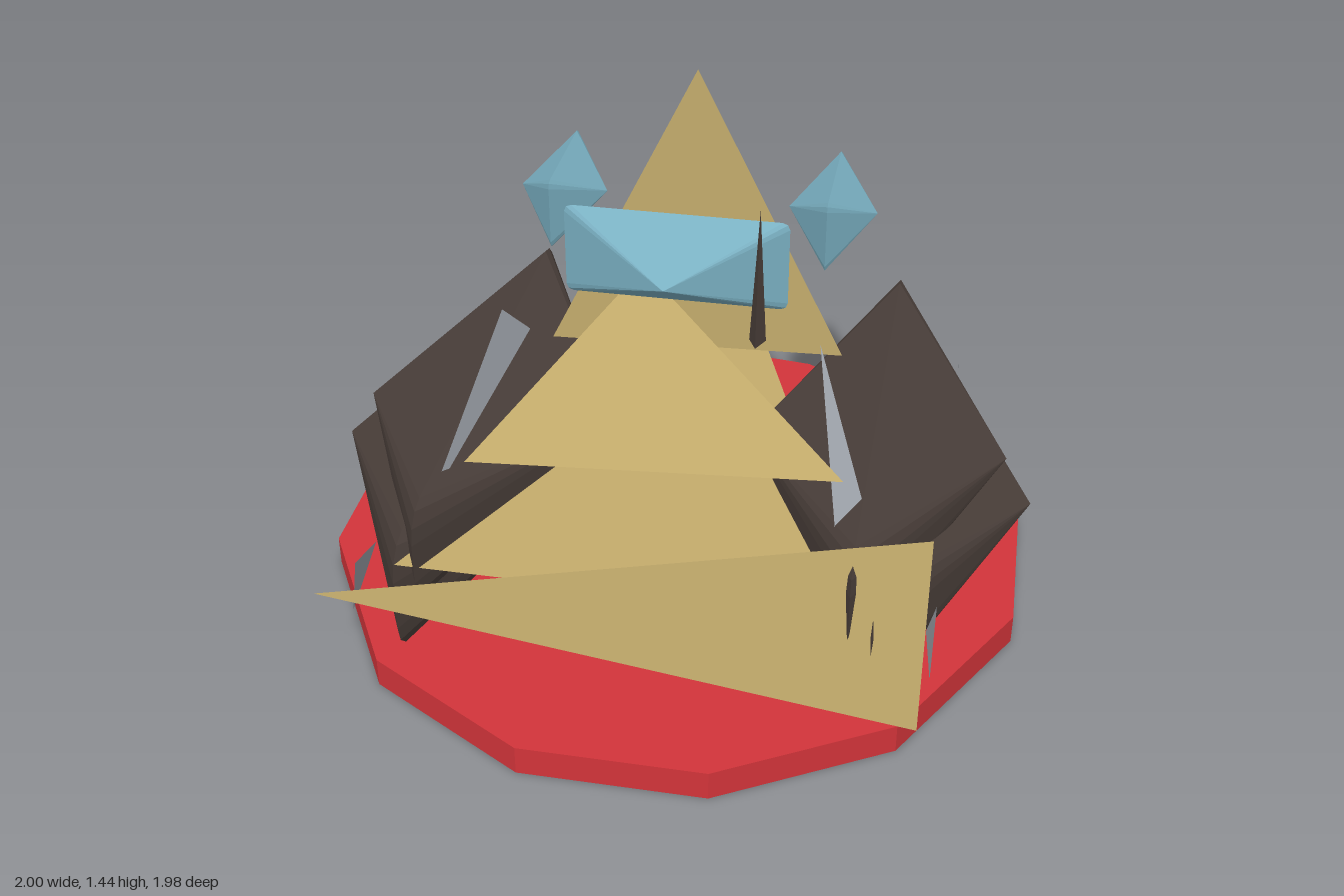
import * as THREE from 'three';

const mat = (name, color) => {
  const m = new THREE.MeshStandardMaterial({ color, side: THREE.DoubleSide });
  m.name = name;
  return m;
};

// Flat-shaded geometry from a list of corner points, three per face
function facets(points) {
  const g = new THREE.BufferGeometry();
  g.setAttribute('position', new THREE.Float32BufferAttribute(points.flat(), 3));
  g.computeVertexNormals();
  return g;
}

// Rounded rectangle in the XY plane, drawn out to a point at +z and -z
function lens(width, height, tip, radius, steps) {
  const ring = [];
  for (let c = 0; c < 4; c++) {
    const sx = c === 0 || c === 3 ? 1 : -1;
    const sy = c < 2 ? 1 : -1;
    for (let i = 0; i <= steps; i++) {
      const a = (c + i / steps) * Math.PI / 2;
      ring.push([
        sx * (width / 2 - radius) + radius * Math.cos(a),
        sy * (height / 2 - radius) + radius * Math.sin(a), 0]);
    }
  }
  const pts = [];
  ring.forEach((p, i) => {
    const q = ring[(i + 1) % ring.length];
    pts.push(p, q, [0, 0, tip], q, p, [0, 0, -tip]);
  });
  return facets(pts);
}

export function createModel() {
  const model = new THREE.Group();
  const red = mat('red', 0xd2343a);
  const tan = mat('tan', 0xc4ac6c);
  const brown = mat('dark brown', 0x4a3f3a);
  const blue = mat('pale blue', 0x7ab0c2);
  const grey = mat('grey', 0x9a9fa6);

  const add = (name, geometry, material, x = 0, y = 0, z = 0) => {
    const mesh = new THREE.Mesh(geometry, material);
    mesh.name = name;
    mesh.position.set(x, y, z);
    model.add(mesh);
    return mesh;
  };

  // Base: faceted disc, mirrored across x
  const half = [[0.26, -0.955], [0.70, -0.71], [0.98, -0.27], [0.98, 0.25], [0.70, 0.74], [0.25, 0.995]];
  const outline = [[0, -0.985], ...half, ...half.map(([x, z]) => [-x, z]).reverse()];
  const disc = new THREE.ExtrudeGeometry(
    new THREE.Shape(outline.map(([x, z]) => new THREE.Vector2(x, -z))),
    { depth: 0.085, bevelEnabled: false });
  disc.rotateX(-Math.PI / 2);
  add('base', disc, red);

  // Paired parts on both sides
  for (const s of [1, -1]) {
    add('upperTread', lens(1.51, 0.30, 0.36, 0.09, 3).rotateY(Math.PI / 2), brown, s * 0.56, 0.45, 0.012);
    add('lowerTread', lens(1.51, 0.35, 0.38, 0.10, 3).rotateY(Math.PI / 2), brown, s * 0.62, 0.305, 0.012);
    add('sidePod', lens(0.36, 0.205, 0.123, 0.02, 2).rotateY(Math.PI / 2), blue, s * 0.382, 1.05, -0.238);
    // Small shards breaking through the outer tread faces
    add('frontShard', facets([[s * 0.75, 0.37, 0.69], [s * 0.77, 0.28, 0.48], [s * 0.77, 0.21, 0.69]]), grey);
    add('rearShard', facets([[s * 0.76, 0.36, -0.63], [s * 0.77, 0.27, -0.45], [s * 0.77, 0.18, -0.64]]), grey);
  }

  // Head block
  add('head', lens(0.605, 0.26, 0.185, 0.02, 2), blue, 0, 1.04, 0.09);

  // Spike beside the head
  const spike = add('spike', new THREE.ConeGeometry(1, 0.38, 4).toNonIndexed(), brown, 0.244, 1.09, 0.24);
  spike.geometry.computeVertexNormals();
  spike.scale.set(0.022, 1, 0.045);

  // Body plates: single triangles
  const plates = {
    backPlate: [[-0.43, 0.56, -0.22], [0.425, 0.555, -0.275], [0, 1.44, -0.235]],
    floorPlate: [[0, 0.43, -0.985], [-0.62, 0.43, 0.75], [0.61, 0.43, 0.75]],
    slantedPlate: [[-0.42, 0.757, 0.715], [0.51, 0.685, 0.53], [-0.14, 0.86, -0.155]],
    frontPlate: [[-0.83, 0.34, 0.795], [0.75, 0.13, 0.795], [0.75, 0.67, 0.712]],
  };
  for (const [name, pts] of Object.entries(plates)) add(name, facets(pts), tan);

  // Grey struts leaning from the treads towards the head
  add('rightStrut', facets([[-0.44, 0.925, 0.25], [-0.56, 0.53, 0.60], [-0.385, 0.83, 0.18]]), grey);
  add('leftStrut', facets([[0.405, 0.88, 0.20], [0.51, 0.53, 0.62], [0.57, 0.57, 0.50]]), grey);

  return model;
}
